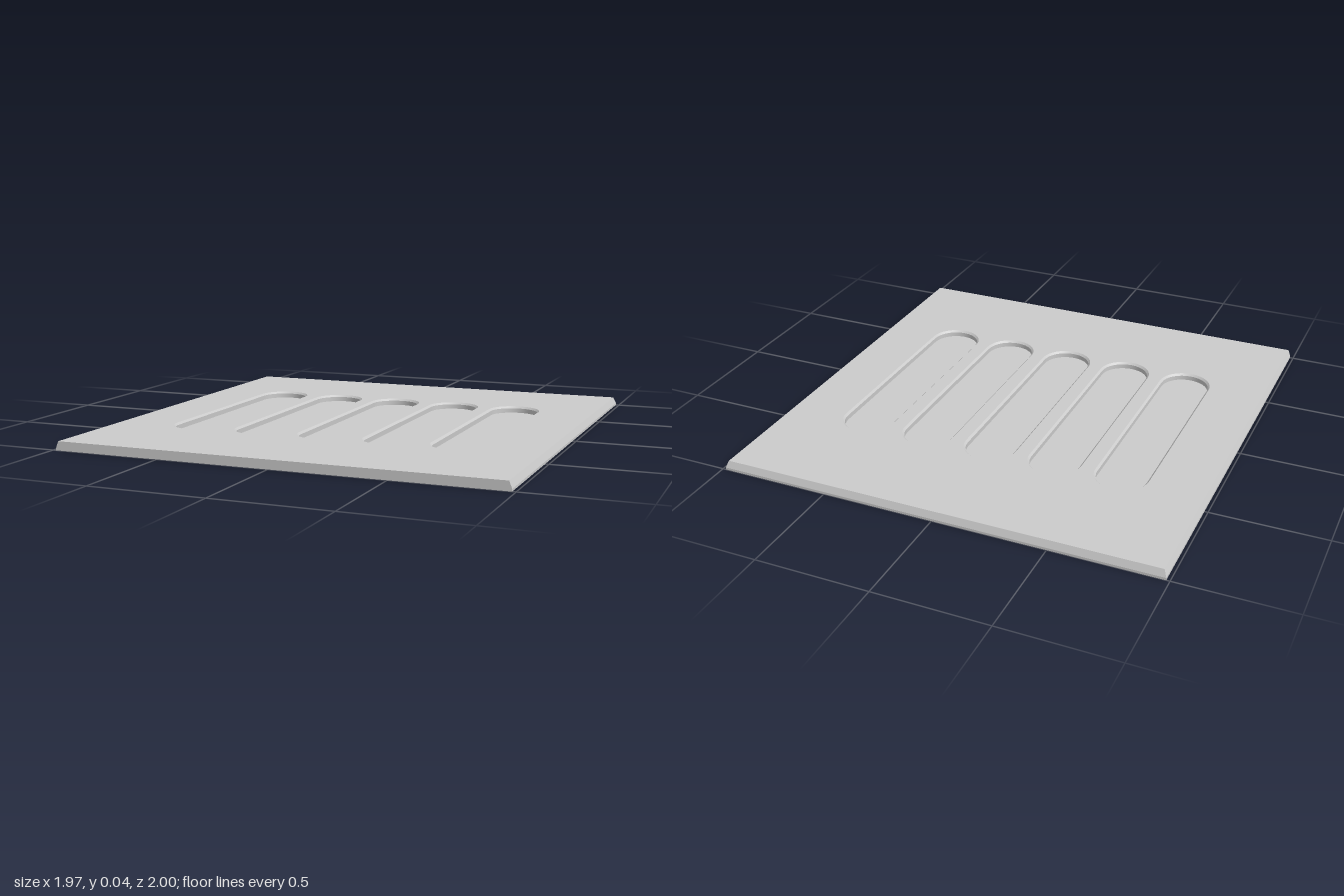
import * as THREE from 'three';
import { toCreasedNormals } from 'three/addons/utils/BufferGeometryUtils.js';

const HALF_X = 0.985, HALF_Z = 1, TOP = 0.04, BASE = 0.01, INSET = 0.012;
const SLOT_PITCH = 0.3025, SLOT_RADIUS = 0.12, SLOT_REACH = 0.435, SLOT_Z = 0.005;

const material = new THREE.MeshStandardMaterial({ color: 0xcccccc });

function addMesh(group, name, geometry) {
  const mesh = new THREE.Mesh(geometry, material);
  mesh.name = name;
  group.add(mesh);
  return mesh;
}

// Rectangle corners, counter-clockwise from above; the front edge stays upright
function plateLoop(inset) {
  const x = HALF_X - inset;
  return [[-x, HALF_Z], [x, HALF_Z], [x, -HALF_Z + inset], [-x, -HALF_Z + inset]]
    .map(([px, pz]) => new THREE.Vector2(px, -pz));
}

// Rounded slot outline, counter-clockwise from above
function slotLoop(cx, radius, steps = 16) {
  const points = [];
  for (const end of [0, 1]) {
    for (let i = 0; i <= steps; i++) {
      const a = Math.PI * (end + i / steps);
      const reach = end ? -SLOT_REACH : SLOT_REACH;
      points.push(new THREE.Vector2(cx + radius * Math.cos(a), -SLOT_Z + reach + radius * Math.sin(a)));
    }
  }
  return points;
}

// Wall through stacked closed loops: rising rows face out, falling rows face in
function wall(rows) {
  const positions = [];
  for (let r = 0; r < rows.length - 1; r++) {
    const [a, ya] = rows[r], [b, yb] = rows[r + 1];
    for (let i = 0; i < a.length; i++) {
      const j = (i + 1) % a.length;
      const quad = [[a[i], ya], [a[j], ya], [b[j], yb], [b[i], yb]];
      for (const k of [0, 1, 2, 0, 2, 3]) positions.push(quad[k][0].x, quad[k][1], -quad[k][0].y);
    }
  }
  const geometry = new THREE.BufferGeometry();
  geometry.setAttribute('position', new THREE.Float32BufferAttribute(positions, 3));
  return toCreasedNormals(geometry, 0.4);
}

export function createModel() {
  const group = new THREE.Group();
  group.name = 'slottedPlate';

  // Thin base whose upper face is the floor of the slots
  const base = addMesh(group, 'base', new THREE.BoxGeometry(2 * HALF_X, BASE, 2 * HALF_Z));
  base.position.y = BASE / 2;

  // Sloped rim on three sides, upright at the front
  addMesh(group, 'rim', wall([[plateLoop(0), BASE], [plateLoop(INSET), TOP]]));

  // Top face pierced by five slots, each with a chamfered wall
  const face = new THREE.Shape(plateLoop(INSET));
  for (let i = -2; i <= 2; i++) {
    const cx = i * SLOT_PITCH;
    const outer = slotLoop(cx, SLOT_RADIUS), inner = slotLoop(cx, SLOT_RADIUS - 0.009);
    face.holes.push(new THREE.Path(outer));
    addMesh(group, 'slotWall', wall([[outer, TOP], [inner, TOP - 0.009], [inner, BASE]]));
  }
  addMesh(group, 'topFace', new THREE.ShapeGeometry(face).rotateX(-Math.PI / 2).translate(0, TOP, 0));

  return group;
}
